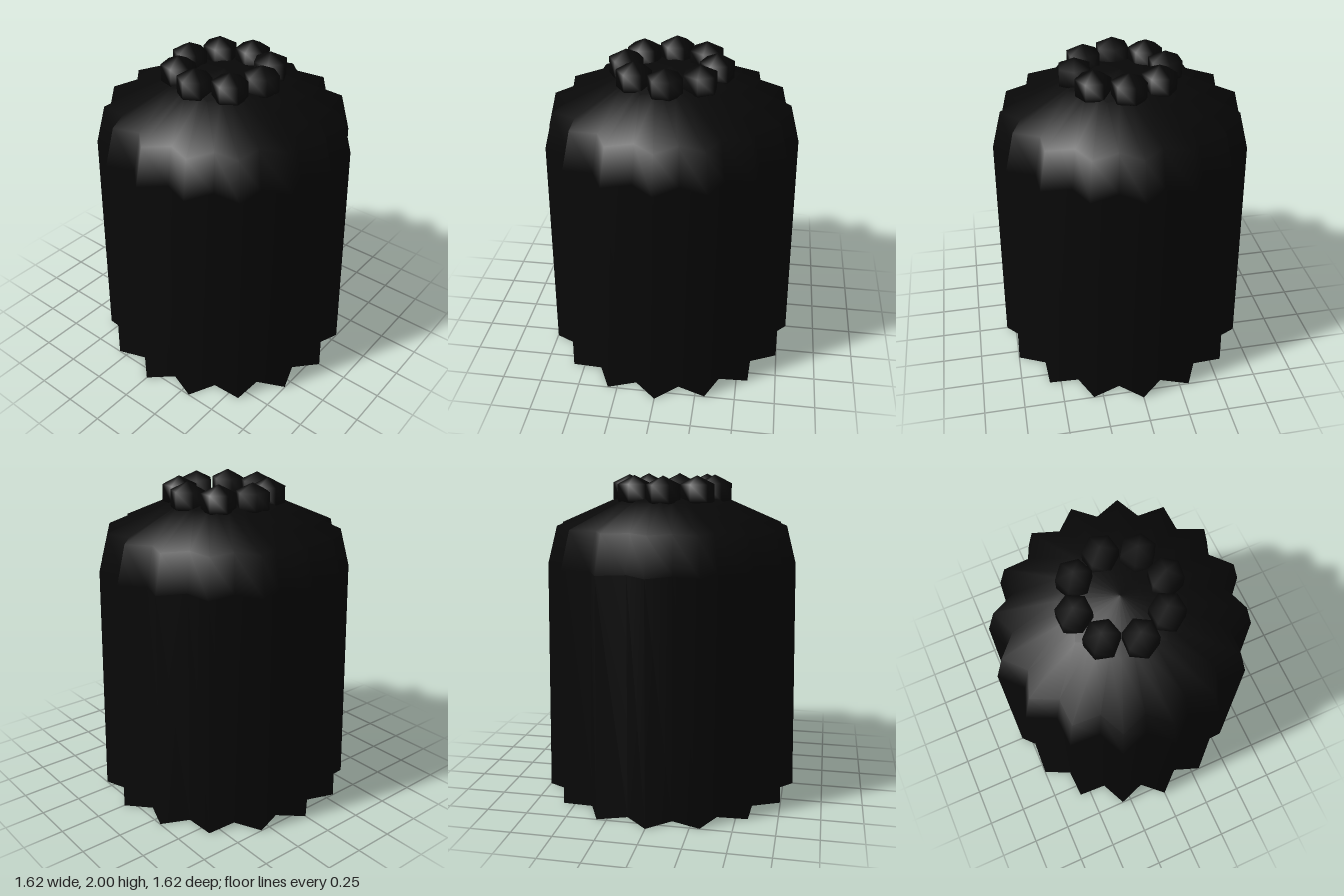
import * as THREE from 'three';

const POINTS = 16; // star points around the fluted body

// Lathe whose every second meridian is pulled inward to form pleats
function pleatedLathe(profile) {
  const pts = profile.map(([r, y]) => new THREE.Vector2(r, y));
  const geo = new THREE.LatheGeometry(pts, POINTS * 2);
  const pos = geo.attributes.position;
  for (let k = 0; k < pos.count; k++) {
    const valley = Math.floor(k / pts.length) % 2 === 1;
    const s = valley ? 0.863 : 1;
    pos.setXYZ(k, pos.getX(k) * s, pos.getY(k), pos.getZ(k) * s);
  }
  return geo;
}

export function createModel() {
  const model = new THREE.Group();

  // Pleated hollow body, open underneath, with rounded shoulders and a shallow top
  const body = new THREE.Mesh(
    pleatedLathe([[0.81, 0], [0.78, 1.46], [0.72, 1.69], [0.35, 1.85], [0, 1.9]]),
    new THREE.MeshStandardMaterial({ color: 0x080808, side: THREE.DoubleSide })
  );
  body.name = 'pleatedBody';
  model.add(body);

  // Ring of coarse, slightly flattened beads on the crown, each turned differently
  const beads = new THREE.Group();
  beads.name = 'beadRing';
  const beadMaterial = new THREE.MeshStandardMaterial({ color: 0x080808 });
  const beadGeo = new THREE.SphereGeometry(0.12, 6, 3).scale(1, 0.86, 1);
  const turns = [23, 35, 30, 45, 32, 52, 41, 57];
  turns.forEach((turn, i) => {
    const a = (i / turns.length) * Math.PI * 2;
    const bead = new THREE.Mesh(beadGeo, beadMaterial);
    bead.name = 'bead';
    bead.position.set(Math.cos(a) * 0.271, 1.893, Math.sin(a) * 0.271);
    bead.rotation.y = THREE.MathUtils.degToRad(turn);
    beads.add(bead);
  });
  model.add(beads);

  return model;
}
